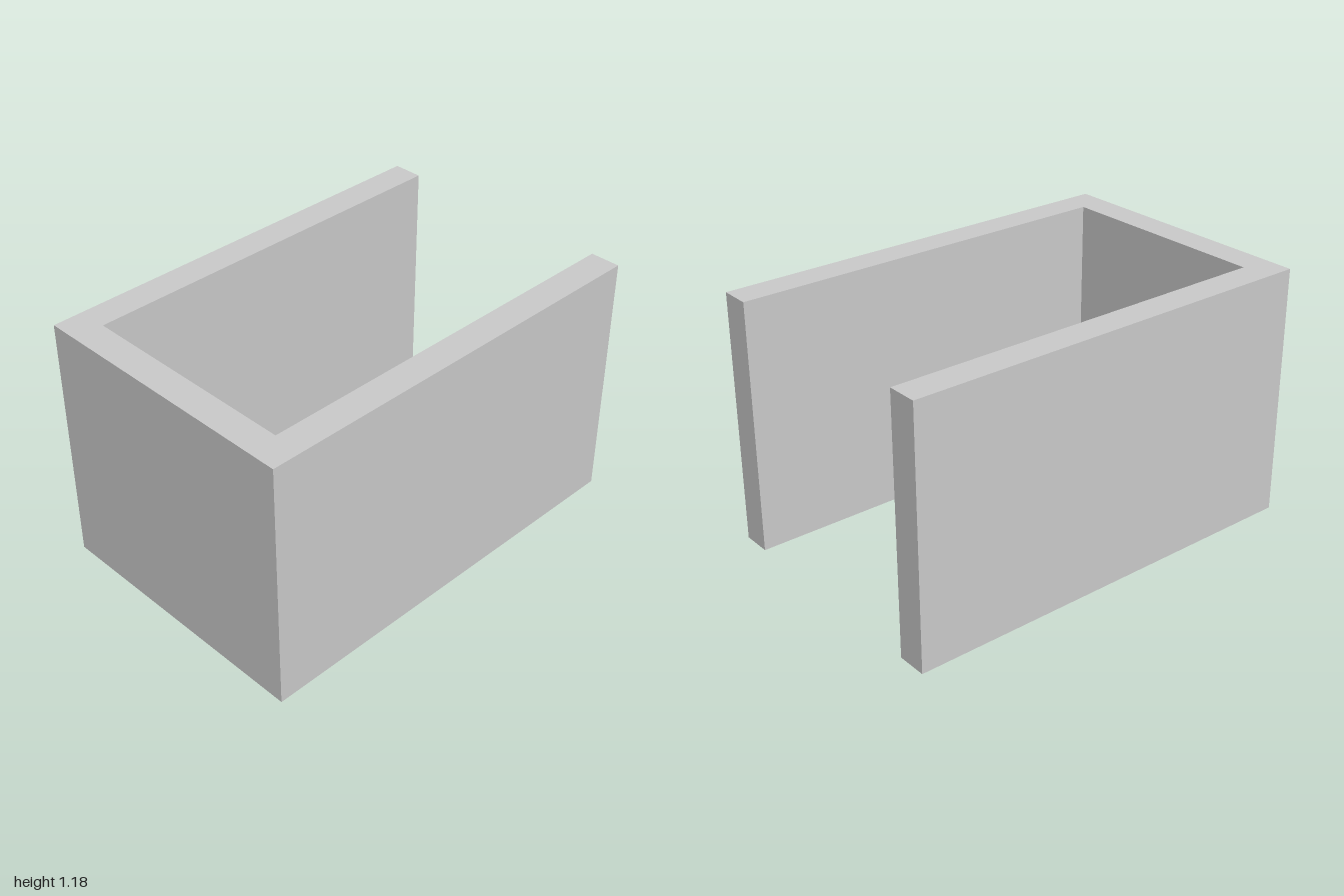
import * as THREE from 'three';

export function createModel() {
  const group = new THREE.Group();
  group.name = 'channel';
  const halfLength = 1, halfDepth = 0.655, height = 1.185, wall = 0.14;
  const inner = halfDepth - wall;

  // U-shaped plan, open towards +x
  const plan = new THREE.Shape([
    [-halfLength, -halfDepth], [halfLength, -halfDepth],
    [halfLength, -inner], [-halfLength + wall, -inner],
    [-halfLength + wall, inner], [halfLength, inner],
    [halfLength, halfDepth], [-halfLength, halfDepth],
  ].map(([x, y]) => new THREE.Vector2(x, y)));

  // Two side walls joined by an end wall, extruded upwards
  const geometry = new THREE.ExtrudeGeometry(plan, { depth: height, bevelEnabled: false });
  geometry.rotateX(-Math.PI / 2);
  const walls = new THREE.Mesh(geometry, new THREE.MeshStandardMaterial({ color: 0xcccccc }));
  walls.name = 'channelWalls';
  group.add(walls);
  return group;
}
